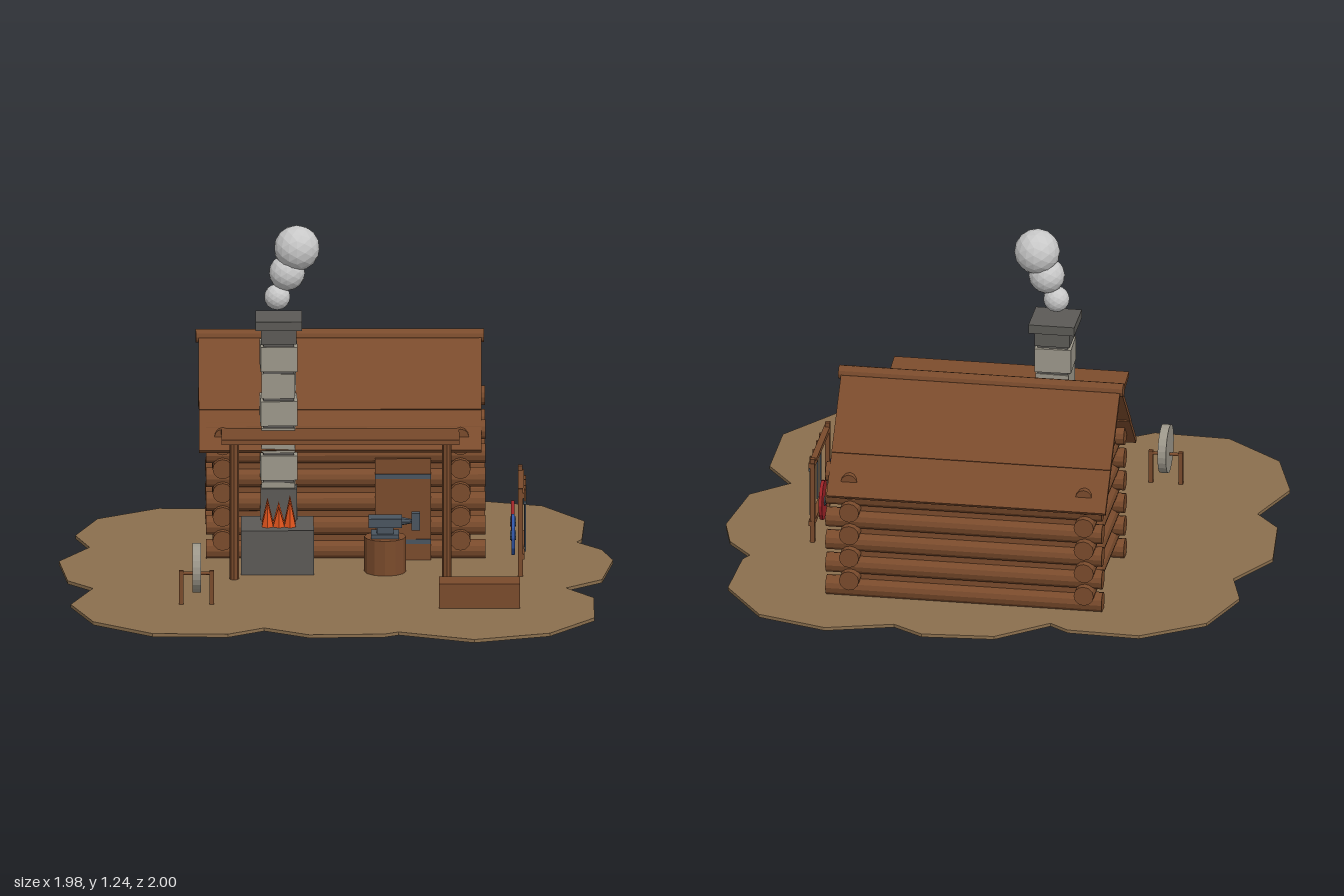
import * as THREE from 'three';

const mat = (name, color) => {
  const m = new THREE.MeshStandardMaterial({ color, flatShading: true });
  m.name = name;
  return m;
};

export function createModel() {
  const root = new THREE.Group();
  root.name = 'blacksmithCabin';
  const wood = mat('wood', 0x7a4b2c), earth = mat('earth', 0x8b6f4e), stone = mat('stone', 0x9c978a);
  const darkStone = mat('darkStone', 0x5c5a56), smoke = mat('smoke', 0xc8c8c8), fire = mat('fire', 0xe0531c);
  const iron = mat('iron', 0x4a5560), blue = mat('blue', 0x3054a5), red = mat('red', 0x9c2226);

  const add = (name, geo, m, x, y, z) => {
    const mesh = new THREE.Mesh(geo, m);
    mesh.name = name;
    mesh.position.set(x, y, z);
    root.add(mesh);
    return mesh;
  };
  // box from its lower and upper limits
  const box = (name, m, x0, x1, y0, y1, z0, z1) =>
    add(name, new THREE.BoxGeometry(x1 - x0, y1 - y0, z1 - z0), m, (x0 + x1) / 2, (y0 + y1) / 2, (z0 + z1) / 2);
  const post = (name, m, r, x, z, y0, y1, n = 8) =>
    add(name, new THREE.CylinderGeometry(r, r, y1 - y0, n), m, x, (y0 + y1) / 2, z);
  const logX = (name, r, x0, x1, y, z) => {
    const l = post(name, wood, r, (x0 + x1) / 2, z, y - (x1 - x0) / 2, y + (x1 - x0) / 2, 12);
    l.rotation.z = Math.PI / 2;
    return l;
  };
  const logZ = (name, r, x, y, z0, z1) => {
    const l = post(name, wood, r, x, (z0 + z1) / 2, y - (z1 - z0) / 2, y + (z1 - z0) / 2, 12);
    l.rotation.x = Math.PI / 2;
    return l;
  };
  // sloping board running from (za, ya) to (zb, yb)
  const board = (name, x0, x1, za, ya, zb, yb, t) => {
    const b = add(name, new THREE.BoxGeometry(x1 - x0, t, Math.hypot(zb - za, yb - ya)), wood,
      (x0 + x1) / 2, (ya + yb) / 2, (za + zb) / 2);
    b.rotation.x = -Math.atan2(yb - ya, zb - za);
    return b;
  };

  // Ground with a scalloped outline
  const outline = [-0.99, -0.13, -0.88, -0.33, -0.93, -0.5, -0.85, -0.74, -0.63, -0.89, -0.37, -0.88, -0.3, -0.83,
    -0.12, -0.98, 0.14, -1, 0.25, -0.93, 0.49, -1, 0.74, -0.92, 0.89, -0.7, 0.88, -0.44, 0.86, -0.4, 0.95, -0.29,
    0.99, -0.14, 0.95, 0.14, 0.82, 0.26, 0.92, 0.4, 0.92, 0.69, 0.76, 0.91, 0.49, 1, 0.22, 0.89, 0.17, 0.92,
    -0.1, 0.93, -0.26, 0.83, -0.39, 0.92, -0.66, 0.91, -0.87, 0.74, -0.95, 0.49, -0.87, 0.26, -0.96, 0.15];
  const pts = [];
  for (let i = 0; i < outline.length; i += 2) pts.push(new THREE.Vector2(outline[i], -outline[i + 1]));
  const groundGeo = new THREE.ExtrudeGeometry(new THREE.Shape(pts), { depth: 0.012, bevelEnabled: false });
  add('ground', groundGeo.rotateX(-Math.PI / 2), earth, 0, 0, 0);

  // Log walls with crossing corners
  box('wallCore', wood, -0.41, 0.45, 0.01, 0.49, -0.69, -0.18);
  for (let i = 0; i < 6; i++) {
    const y = 0.042 + i * 0.088;
    for (const z of [-0.68, -0.19]) logX('wallLog', 0.036, -0.465, 0.535, y, z);
    if (i < 5) for (const x of [-0.405, 0.445]) logZ('sideLog', 0.036, x, y + 0.044, -0.742, -0.13);
  }
  for (const x of [-0.405, 0.445]) logZ('topSideLog', 0.03, x, 0.468, -0.742, -0.13);

  // Gables
  const tri = new THREE.Shape([[-0.245, 0.5], [0.245, 0.5], [0, 0.735]].map(p => new THREE.Vector2(...p)));
  for (const x of [-0.425, 0.425]) {
    const g = new THREE.ExtrudeGeometry(tri, { depth: 0.04, bevelEnabled: false });
    add('gable', g.rotateY(Math.PI / 2), wood, x, 0, -0.437);
  }

  // Main roof: lower and overlapping upper boards on both slopes
  for (const s of [-1, 1]) {
    const zc = -0.437;
    board('lowerRoofBoard', -0.49, 0.52, zc + s * 0.2, 0.566, zc + s * 0.338, 0.424, 0.018);
    board('upperRoofBoard', -0.49, 0.52, zc, 0.774, zc + s * 0.226, 0.546, 0.018);
  }
  logX('ridgeLog', 0.025, -0.5, 0.53, 0.765, -0.437);

  // Porch roof on posts
  board('porchRoof', -0.41, 0.44, -0.155, 0.485, 0.225, 0.54, 0.018);
  for (const x of [-0.365, 0.395]) post('porchPost', wood, 0.017, x, 0.125, 0.01, 0.51);

  // Door with iron straps
  box('door', wood, 0.14, 0.34, 0.01, 0.385, -0.17, -0.145);
  for (const y of [0.08, 0.32]) box('doorStrap', iron, 0.14, 0.34, y - 0.008, y + 0.008, -0.146, -0.14);

  // Chimney of stacked stones
  box('chimneyCore', darkStone, -0.26, -0.15, 0.01, 0.84, -0.21, -0.1);
  for (let i = 0; i < 8; i++) {
    const w = i % 2 ? 0.066 : 0.06, y = 0.02 + i * 0.1;
    const b = box('chimneyStone', stone, -0.205 - w, -0.205 + w, y, y + 0.09, -0.155 - w, -0.155 + w);
    b.rotation.y = i % 2 ? 0.03 : -0.03;
  }
  box('chimneyCollar', darkStone, -0.268, -0.142, 0.82, 0.88, -0.22, -0.09);
  box('chimneyCap', darkStone, -0.288, -0.122, 0.875, 0.908, -0.238, -0.072);

  // Smoke puffs
  for (const [x, y, r] of [[-0.21, 0.98, 0.047], [-0.175, 1.07, 0.065], [-0.14, 1.16, 0.082]])
    add('smokePuff', new THREE.IcosahedronGeometry(r, 2), smoke, x, y, -0.155);

  // Forge and flames
  box('forge', darkStone, -0.34, -0.08, 0.01, 0.175, -0.14, 0.07);
  box('forgeHood', darkStone, -0.27, -0.14, 0.17, 0.29, -0.15, -0.085);
  for (let i = 0; i < 9; i++) {
    const h = [0.09, 0.07, 0.1][i % 3] + 0.005 * (i % 2);
    add('flame', new THREE.ConeGeometry(0.022, h, 5), fire,
      -0.245 + 0.04 * (i % 3), 0.175 + h / 2, -0.06 + 0.035 * Math.floor(i / 3));
  }

  // Anvil on a stump, with a hammer head on it
  post('stump', wood, 0.075, 0.175, 0.015, 0.01, 0.14, 12);
  box('anvilFoot', iron, 0.125, 0.225, 0.14, 0.155, -0.025, 0.055);
  box('anvilWaist', iron, 0.145, 0.205, 0.15, 0.185, -0.01, 0.04);
  box('anvilBody', iron, 0.115, 0.235, 0.18, 0.212, -0.02, 0.05);
  const horn = add('anvilHorn', new THREE.CylinderGeometry(0.006, 0.016, 0.05, 8), iron, 0.255, 0.196, 0.015);
  horn.rotation.z = -Math.PI / 2;
  box('hammerHead', iron, 0.27, 0.3, 0.165, 0.228, 0, 0.03);

  // Trough
  box('trough', wood, 0.365, 0.655, 0.01, 0.102, 0.445, 0.552);

  // Grindstone between two stakes
  const wheel = add('grindstone', new THREE.CylinderGeometry(0.088, 0.088, 0.03, 24), stone, -0.5, 0.145, 0.483);
  wheel.rotation.z = Math.PI / 2;
  for (const x of [-0.555, -0.447]) box('grindstoneStake', wood, x - 0.008, x + 0.008, 0.01, 0.135, 0.475, 0.491);
  logX('grindstoneAxle', 0.006, -0.557, -0.445, 0.125, 0.483);

  // Weapon rack
  for (const z of [-0.243, 0.088]) box('rackPost', wood, 0.65, 0.667, 0.01, 0.335, z - 0.009, z + 0.009);
  for (const y of [0.085, 0.31]) box('rackRail', wood, 0.65, 0.672, y - 0.009, y + 0.009, -0.255, 0.1);
  for (const z of [-0.18, -0.12, -0.035, 0.03]) {
    box('swordBlade', iron, 0.672, 0.678, 0.09, 0.27, z - 0.008, z + 0.008);
    box('swordGuard', iron, 0.67, 0.68, 0.265, 0.275, z - 0.02, z + 0.02);
    box('swordGrip', wood, 0.671, 0.679, 0.275, 0.315, z - 0.005, z + 0.005);
  }
  // Shields leaning behind the rack
  for (const [name, m, z] of [['blueShield', blue, 0.022], ['redShield', red, -0.178]]) {
    const s = add(name, new THREE.CylinderGeometry(0.06, 0.06, 0.012, 12), m, 0.632, 0.148, z);
    s.rotation.z = Math.PI / 2;
    s.scale.x = 1.25;
    const boss = add('shieldBoss', new THREE.CylinderGeometry(0.018, 0.018, 0.022, 8), iron, 0.632, 0.145, z);
    boss.rotation.z = Math.PI / 2;
  }
  return root;
}
